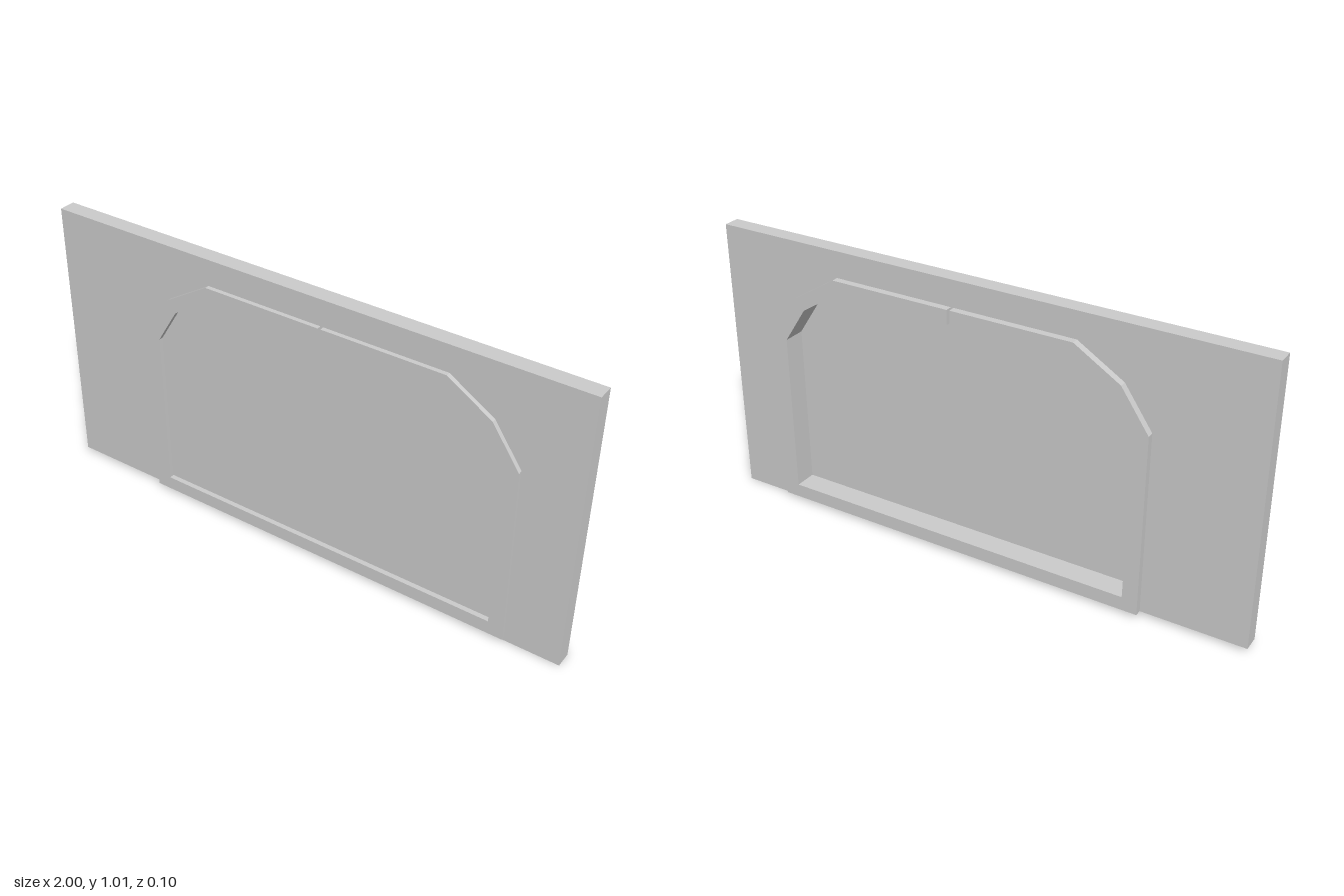
import * as THREE from 'three';

// Arch outlines, left foot over the top to the right foot
const OUTER = [[-0.63, 0.015], [-0.63, 0.675], [-0.53, 0.82], [-0.365, 0.92],
  [0.53, 0.92], [0.69, 0.82], [0.79, 0.675], [0.795, 0.015]];
const INNER = [[-0.575, 0.065], [-0.58, 0.65], [-0.5, 0.78], [-0.365, 0.867],
  [0.525, 0.867], [0.66, 0.78], [0.745, 0.65], [0.74, 0.065]];

const toPoints = (list) => list.map(([x, y]) => new THREE.Vector2(x, y));

export function createModel() {
  const group = new THREE.Group();
  const material = new THREE.MeshStandardMaterial({ color: 0xcccccc, flatShading: true });

  function add(name, geometry, mat = material) {
    const mesh = new THREE.Mesh(geometry, mat);
    mesh.name = name;
    group.add(mesh);
    return mesh;
  }

  // Extrude a shape between two depths
  function slab(shape, back, front) {
    const geometry = new THREE.ExtrudeGeometry(shape, { depth: front - back, bevelEnabled: false });
    return geometry.translate(0, 0, back);
  }

  // Wall with an arched opening, stepping down at its narrow end
  const wall = new THREE.Shape(toPoints([[-1, 0.015], [0.79, 0.015], [0.79, 0],
    [0.99, 0], [0.998, 1.015], [-1, 1.015]]));
  const middle = OUTER.map(([x, y], i) => [(x + INNER[i][0]) / 2, (y + INNER[i][1]) / 2]);
  wall.holes.push(new THREE.Path(toPoints(middle)));
  add('wall', slab(wall, -0.025, 0.034));

  // Proud frame around the opening, split by a narrow joint in the top bar
  const [jointLeft, jointRight] = [0.074, 0.084];
  const frame = new THREE.Shape(toPoints([
    [jointLeft, 0.92], ...OUTER.slice(0, 4).reverse(), ...OUTER.slice(4).reverse(), [jointRight, 0.92],
    [jointRight, 0.867], ...INNER.slice(4), ...INNER.slice(0, 4), [jointLeft, 0.867],
  ]));
  add('frame', slab(frame, -0.05, 0.05));

  // Thin panel closing the opening near the front
  const panelMaterial = material.clone();
  panelMaterial.side = THREE.DoubleSide;
  add('panel', new THREE.ShapeGeometry(new THREE.Shape(toPoints(INNER))), panelMaterial).position.z = 0.032;

  return group;
}
